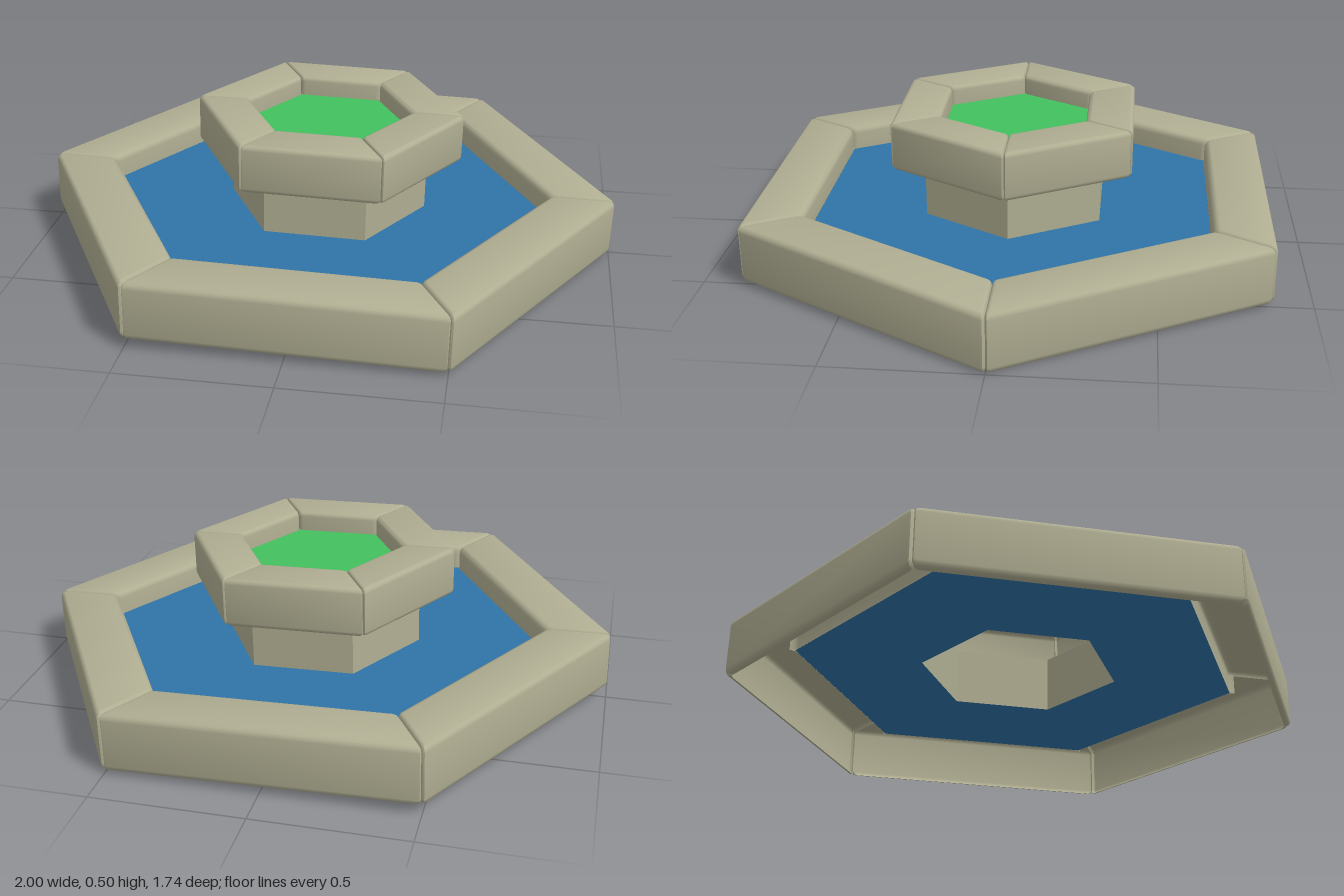
import * as THREE from 'three';
import { toCreasedNormals } from 'three/addons/utils/BufferGeometryUtils.js';

const flat = (name, color) => {
  const m = new THREE.MeshStandardMaterial({ color, side: THREE.DoubleSide });
  m.name = name;
  return m;
};

// Cross-section of an open-bottomed rim as [distance from centre, height], shrunk by inset
function rimProfile({ outer, inner, bottom, top, floor, r }, inset) {
  const pts = [];
  const rad = r - inset;
  const arc = (cx, cy, from, to) => {
    for (let i = 0; i <= 4; i++) {
      const a = THREE.MathUtils.lerp(from, to, i / 4);
      pts.push([cx + rad * Math.cos(a), cy + rad * Math.sin(a)]);
    }
  };
  arc(outer - r, bottom + r, -Math.PI / 2, 0);
  arc(outer - r, top - r, 0, Math.PI / 2);
  arc(inner + r, top - r, Math.PI / 2, Math.PI);
  pts.push([inner + inset, floor]);
  return pts;
}

// One mitred side of a rim, facing +z, with softened ends
function rimSide(spec) {
  const b = spec.r * 0.75;
  const stations = [];
  for (let i = 0; i <= 3; i++) {
    const a = (i / 3) * Math.PI / 2;
    stations.push({ back: b * (1 - Math.cos(a)), inset: b * (1 - Math.sin(a)), side: -1 });
  }
  stations.push(...stations.map(s => ({ ...s, side: 1 })).reverse());
  const pos = [], index = [];
  const n = rimProfile(spec, 0).length;
  stations.forEach((s, i) => {
    rimProfile(spec, s.inset).forEach(([d, y], j) => {
      pos.push(s.side * (d / Math.sqrt(3) - s.back), y, d);
      if (i && j) {
        const c = i * n + j, p = c - n;
        index.push(p - 1, c - 1, c, p - 1, c, p);
      }
    });
  });
  const g = new THREE.BufferGeometry();
  g.setAttribute('position', new THREE.Float32BufferAttribute(pos, 3));
  g.setIndex(index);
  return toCreasedNormals(g, 0.7);
}

function hexRim(name, spec, material) {
  const rim = new THREE.Group();
  rim.name = name;
  const geo = rimSide(spec);
  for (let k = 0; k < 6; k++) {
    const side = new THREE.Mesh(geo, material);
    side.name = name + 'Side';
    side.rotation.y = k * Math.PI / 3;
    rim.add(side);
  }
  return rim;
}

// Flat hexagon at height y, with an optional hexagonal hole
function hexSheet(name, radius, hole, y, material) {
  const corners = r => Array.from({ length: 6 }, (_, k) =>
    new THREE.Vector2(r * Math.cos(k * Math.PI / 3), r * Math.sin(k * Math.PI / 3)));
  const shape = new THREE.Shape(corners(radius));
  if (hole) shape.holes.push(new THREE.Path(corners(hole)));
  const mesh = new THREE.Mesh(new THREE.ShapeGeometry(shape).rotateX(-Math.PI / 2), material);
  mesh.name = name;
  mesh.position.y = y;
  return mesh;
}

export function createModel() {
  const stone = flat('stone', 0xb0ae92);
  const blue = flat('water blue', 0x2f74a8);
  const green = flat('grass green', 0x43c05e);

  const model = new THREE.Group();
  model.name = 'fountain';

  // Everything leans slightly towards +x
  const body = new THREE.Group();
  body.name = 'body';
  body.rotation.z = -0.0225;
  model.add(body);

  // Lower basin and its water
  body.add(hexRim('basinRim',
    { outer: 0.872, inner: 0.675, bottom: 0.023, top: 0.225, floor: 0.14, r: 0.022 }, stone));
  body.add(hexSheet('water', 0.779, 0.345, 0.14, blue));

  // Hollow pedestal
  const tube = new THREE.CylinderGeometry(0.345, 0.345, 0.205, 6, 1, true).rotateY(Math.PI / 6);
  const pedestal = new THREE.Mesh(toCreasedNormals(tube, 0.5), stone);
  pedestal.name = 'pedestal';
  pedestal.position.y = 0.2425;
  body.add(pedestal);

  // Upper planter and its fill
  body.add(hexRim('planterRim',
    { outer: 0.405, inner: 0.246, bottom: 0.328, top: 0.496, floor: 0.428, r: 0.017 }, stone));
  body.add(hexSheet('planterFill', 0.284, 0, 0.428, green));

  return model;
}
